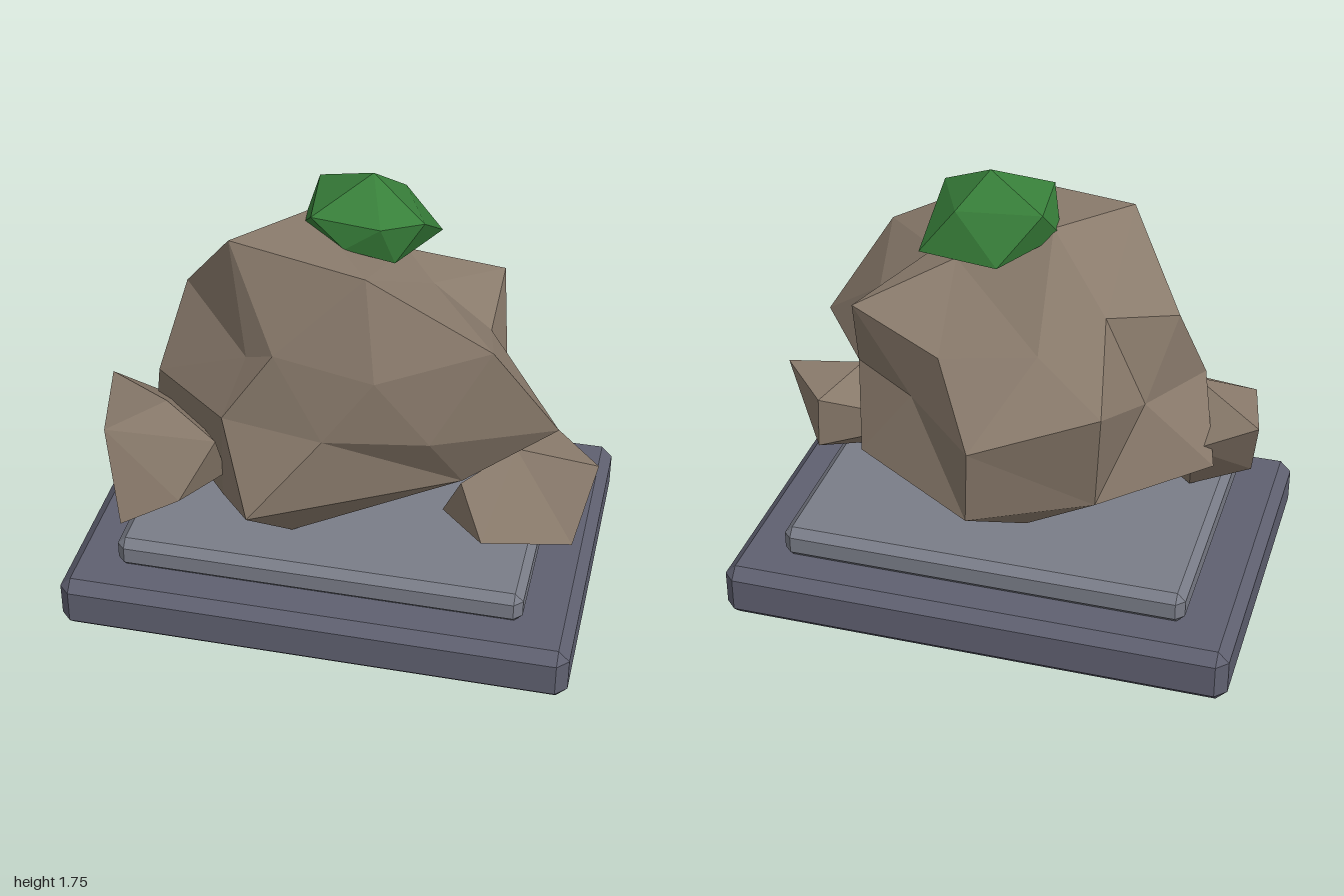
import * as THREE from 'three';
import { ConvexGeometry } from 'three/addons/geometries/ConvexGeometry.js';

const V = (x, y, z) => new THREE.Vector3(x, y, z);

const paint = (color) => new THREE.MeshStandardMaterial({ color, flatShading: true });

function addMesh(group, name, geometry, material) {
  const mesh = new THREE.Mesh(geometry, material);
  mesh.name = name;
  group.add(mesh);
  return mesh;
}

// Faceted boulder: corners are joined as seen from its heart, so dents are kept
function boulder(corners, heart) {
  const points = corners.map((c) => V(...c));
  const centre = heart || points.reduce((s, p) => s.add(p), V(0, 0, 0)).divideScalar(points.length);
  const directions = points.map((p) => p.clone().sub(centre).normalize());
  const geometry = new ConvexGeometry(directions);
  const position = geometry.attributes.position;
  const d = V(0, 0, 0);
  for (let i = 0; i < position.count; i++) {
    d.fromBufferAttribute(position, i);
    let best = 0;
    directions.forEach((dir, k) => { if (dir.dot(d) > directions[best].dot(d)) best = k; });
    position.setXYZ(i, points[best].x, points[best].y, points[best].z);
  }
  geometry.computeVertexNormals();
  return geometry;
}

// Slab with every edge cut at 45 degrees
function chamferedSlab(w, h, d, cut) {
  const points = [];
  for (const sx of [-1, 1]) for (const sy of [-1, 1]) for (const sz of [-1, 1]) {
    const x = w / 2, y = h / 2, z = d / 2;
    points.push(V(sx * x, sy * (y - cut), sz * (z - cut)));
    points.push(V(sx * (x - cut), sy * y, sz * (z - cut)));
    points.push(V(sx * (x - cut), sy * (y - cut), sz * z));
  }
  return new ConvexGeometry(points);
}

export function createModel() {
  const model = new THREE.Group();
  model.name = 'rockOnPlinth';
  const stone = paint(0x8a7b6c);

  // Two-step plinth
  addMesh(model, 'plinthBase', chamferedSlab(1.992, 0.22, 1.395, 0.043), paint(0x5f6070)).position.set(-0.004, 0.11, 0);
  addMesh(model, 'plinthStep', chamferedSlab(1.592, 0.13, 1.097, 0.032), paint(0x7a7d88)).position.set(-0.005, 0.283, 0);

  // Main boulder
  addMesh(model, 'mainRock', boulder([
    // crown
    [-0.4, 1.556, 0.21], [0.14, 1.54, 0.34], [-0.16, 1.56, -0.07], [0.2, 1.41, -0.12], [0.33, 1.36, 0.02],
    // shoulders
    [-0.63, 1.23, 0], [-0.31, 1.144, 0.34], [-0.19, 1.21, 0.41], [0.2, 1.18, 0.465], [0.61, 1.294, 0.34],
    [0.55, 1.17, 0], [0.55, 1.256, -0.31], [0.18, 1.15, -0.42], [-0.19, 1.2, -0.39], [-0.4, 1.3, -0.22],
    [-0.45, 1.02, -0.47],
    // waist
    [-0.71, 0.91, 0.16], [-0.39, 0.91, 0.42], [0.01, 0.91, 0.49], [0.4, 0.91, 0.42], [0.85, 0.91, 0.22],
    [0.6, 0.91, -0.13], [0.32, 0.91, -0.33], [0, 0.91, -0.66], [-0.54, 0.91, -0.14],
    // underside
    [-0.26, 0.577, 0.586], [0.5, 0.64, 0.25], [0.54, 0.61, -0.3], [0.03, 0.57, -0.59], [-0.4, 0.55, -0.33],
    [-0.79, 0.6, -0.02], [0.25, 0.46, 0.1], [-0.12, 0.38, -0.285], [0, 0.35, 0.1], [-0.15, 0.35, 0.33],
    [-0.47, 0.36, 0.18],
  ], V(0, 0.9, 0)), stone);

  // Side boulders
  addMesh(model, 'rightSmallRock', boulder([
    [-0.95, 0.77, 0.02], [-0.66, 0.824, 0.24], [-0.43, 0.765, 0.38], [-0.88, 0.735, 0.36], [-0.91, 0.5, 0.15],
    [-0.775, 0.433, 0.54], [-0.545, 0.56, 0.51], [-0.66, 0.35, 0.2], [-0.44, 0.5, 0.22], [-0.705, 0.66, -0.02],
  ]), stone);
  addMesh(model, 'leftSmallRock', boulder([
    [1, 0.695, 0.12], [0.685, 0.733, 0.13], [0.78, 0.69, -0.13], [0.5, 0.65, 0.28], [0.42, 0.45, 0.2],
    [0.6, 0.45, 0.375], [0.935, 0.433, 0.285], [0.695, 0.35, 0.12], [0.8, 0.455, -0.1],
  ]), stone);

  // Moss tuft on the crown
  addMesh(model, 'mossTuft', boulder([
    [0.085, 1.755, -0.05], [-0.145, 1.655, -0.17], [0.155, 1.64, 0.16], [0.3, 1.635, 0.07], [-0.11, 1.645, 0.13],
    [-0.18, 1.52, -0.04], [0.32, 1.46, -0.2], [0, 1.47, -0.27], [0.1, 1.4, -0.08], [0.2, 1.48, 0.11],
    [0.02, 1.54, 0.155], [0.18, 1.64, -0.19],
  ]), paint(0x38803a));

  return model;
}
